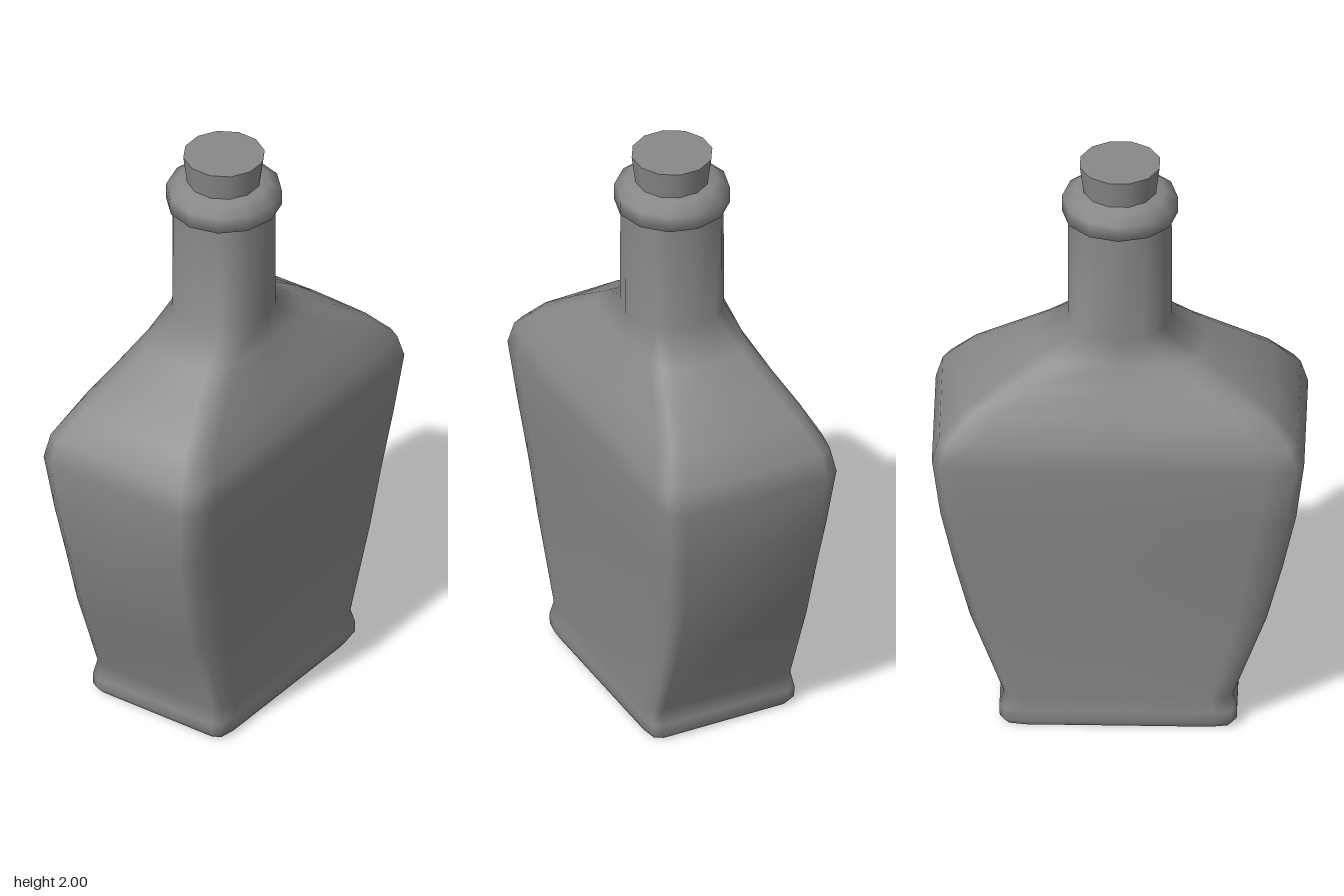
import * as THREE from 'three';

const mat = new THREE.MeshStandardMaterial({ color: 0x888888, side: THREE.DoubleSide });

// One quadrant: angle on the round section, and inset from the rectangle's corner
const QUADRANT = [
  { angle: 0, mid: 'x' },
  { angle: 30, dx: 0, dz: 0.115 },
  { angle: 45, dx: 0.015, dz: 0.025 },
  { angle: 60, dx: 0.06, dz: 0 },
  { angle: 90, mid: 'z' },
];

// Section blending from a soft-cornered rectangle (round = 0) to a circle (round = 1)
function section([y, w, d, round]) {
  const k = d / 0.605; // corner inset shrinks with the section
  const q = QUADRANT.map((p) => {
    const a = THREE.MathUtils.degToRad(p.angle);
    const x = p.mid === 'z' ? 0 : w - (p.dx || 0) * k;
    const z = p.mid === 'x' ? 0 : d - (p.dz || 0) * k;
    return [
      THREE.MathUtils.lerp(x, w * Math.cos(a), round),
      THREE.MathUtils.lerp(z, d * Math.sin(a), round),
    ];
  });
  const ring = [];
  for (let i = 0; i < 4; i++) ring.push([q[i][0], y, q[i][1]]);
  for (let i = 4; i > 0; i--) ring.push([-q[i][0], y, q[i][1]]);
  for (let i = 0; i < 4; i++) ring.push([-q[i][0], y, -q[i][1]]);
  for (let i = 4; i > 0; i--) ring.push([q[i][0], y, -q[i][1]]);
  return ring;
}

function build(points, index) {
  const geo = new THREE.BufferGeometry();
  geo.setAttribute('position', new THREE.Float32BufferAttribute(points.flat(), 3));
  geo.setIndex(index);
  geo.computeVertexNormals();
  return geo;
}

function loft(rings) {
  const n = rings[0].length;
  const index = [];
  for (let r = 0; r < rings.length - 1; r++) {
    for (let i = 0; i < n; i++) {
      const a = r * n + i, b = r * n + ((i + 1) % n);
      index.push(a, a + n, b, b, a + n, b + n);
    }
  }
  return build(rings.flat(), index);
}

export function createModel() {
  const group = new THREE.Group();
  const add = (name, geo) => {
    const mesh = new THREE.Mesh(geo, mat);
    mesh.name = name;
    group.add(mesh);
  };

  // Body, shoulders and neck: height, half width, half depth, roundness
  const rows = [
    [0, 0.255, 0.37, 0],
    [0.02, 0.267, 0.385, 0],
    [0.06, 0.267, 0.386, 0],
    [0.11, 0.26, 0.374, 0.02],
    [0.4, 0.277, 0.489, 0.1],
    [0.6, 0.292, 0.545, 0.14],
    [0.8, 0.309, 0.588, 0.12],
    [1.01, 0.319, 0.605, 0],
    [1.09, 0.306, 0.582, 0],
    [1.18, 0.264, 0.507, 0.1],
    [1.26, 0.225, 0.402, 0.32],
    [1.34, 0.19, 0.285, 0.62],
    [1.42, 0.169, 0.169, 1],
    [1.83, 0.168, 0.168, 1],
  ];
  const rings = rows.map(section);
  add('bottleBody', loft(rings));

  // Flat base
  const base = rings[0];
  const n = base.length;
  const fan = base.flatMap((_, i) => [n, i, (i + 1) % n]);
  add('base', build([...base, [0, 0, 0]], fan));

  // Collar around the mouth
  const collar = [
    [0.155, 1.815], [0.189, 1.815], [0.189, 1.87], [0.15, 1.9], [0.105, 1.905],
  ].map(([r, y]) => new THREE.Vector2(r, y));
  add('collar', new THREE.LatheGeometry(collar, 12));

  // Tapered stopper, flats facing front and sides
  const cork = new THREE.CylinderGeometry(0.134, 0.116, 0.14, 12);
  cork.rotateY(Math.PI / 12);
  cork.translate(0, 1.93, 0);
  add('cork', cork);

  return group;
}
